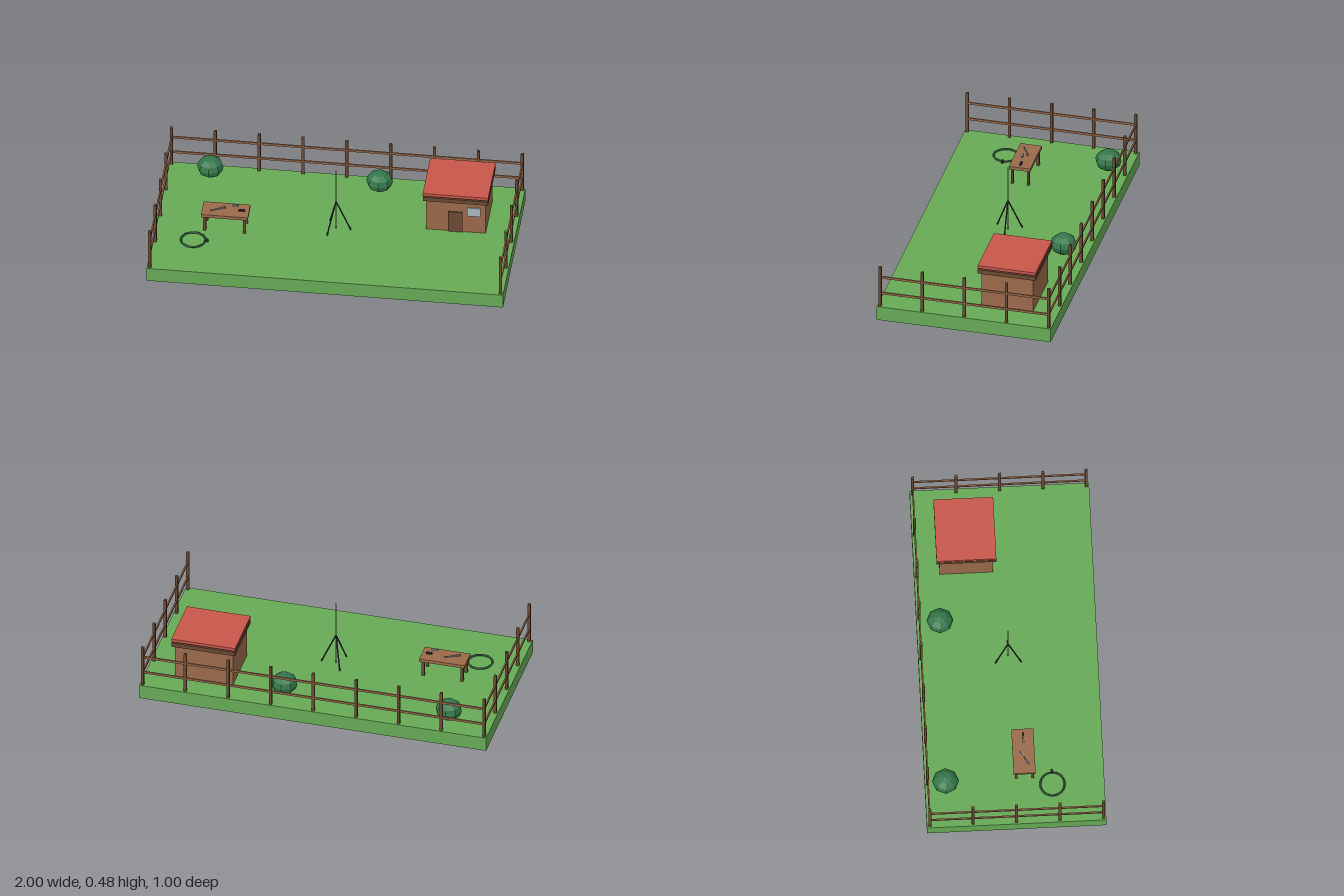
import * as THREE from 'three';

const mat = (name, color, flat = false) => {
  const m = new THREE.MeshStandardMaterial({ color, flatShading: flat });
  m.name = name;
  return m;
};

export function createModel() {
  const grass = mat('grass', 0x66aa55);
  const wood = mat('wood', 0x9a6a4a);
  const darkWood = mat('darkWood', 0x6b4a33);
  const red = mat('roofRed', 0xc8564a);
  const leaf = mat('leafGreen', 0x34774a, true);
  const hoseGreen = mat('hoseGreen', 0x2a5a38);
  const dark = mat('darkMetal', 0x2c2d36);
  const steel = mat('steel', 0x8b8f96);
  const glass = mat('glass', 0xa9b4be);

  const model = new THREE.Group();
  model.name = 'backyard';
  const G = 0.085; // ground level

  const group = (name) => {
    const g = new THREE.Group();
    g.name = name;
    model.add(g);
    return g;
  };
  const add = (parent, name, geo, material, x, y, z) => {
    const m = new THREE.Mesh(geo, material);
    m.name = name;
    m.position.set(x, y, z);
    parent.add(m);
    return m;
  };
  const box = (parent, name, material, w, h, d, x, y, z) =>
    add(parent, name, new THREE.BoxGeometry(w, h, d), material, x, y, z);
  // Thin round bar between two points
  const bar = (parent, name, material, a, b, r) => {
    const dir = b.clone().sub(a);
    const m = add(parent, name, new THREE.CylinderGeometry(r, r, dir.length(), 8), material, 0, 0, 0);
    m.position.copy(a).add(b).multiplyScalar(0.5);
    m.quaternion.setFromUnitVectors(new THREE.Vector3(0, 1, 0), dir.normalize());
  };

  box(model, 'lawn', grass, 2, G, 1, 0, G / 2, 0);

  // Fence around the back and both sides
  const fence = group('fence');
  const post = (x, z) => box(fence, 'fencePost', darkWood, 0.016, 0.25, 0.016, x, G + 0.125, z);
  for (let i = 0; i <= 8; i++) post(-0.984 + i * 0.246, -0.484);
  for (const x of [-0.984, 0.984]) for (let i = 1; i <= 4; i++) post(x, -0.484 + i * 0.242);
  for (const y of [0.168, 0.269]) {
    box(fence, 'backRail', wood, 1.968, 0.013, 0.008, 0, y, -0.484);
    for (const x of [-0.984, 0.984]) box(fence, 'sideRail', wood, 0.008, 0.013, 0.968, x, y, 0);
  }

  // Shed with a roof slab over a trim board
  const shed = group('shed');
  box(shed, 'shedWalls', wood, 0.335, 0.206, 0.298, 0.665, G + 0.103, -0.208);
  box(shed, 'eaveTrim', darkWood, 0.365, 0.025, 0.333, 0.665, 0.303, -0.208);
  box(shed, 'roofSlab', red, 0.367, 0.018, 0.333, 0.665, 0.333, -0.208);
  box(shed, 'door', darkWood, 0.08, 0.135, 0.007, 0.663, G + 0.0675, -0.0555);
  box(shed, 'window', glass, 0.075, 0.057, 0.007, 0.767, 0.228, -0.0555);

  // Bushes
  for (const [x, z] of [[-0.754, -0.385], [0.198, -0.37]]) {
    add(model, 'bush', new THREE.SphereGeometry(0.075, 8, 6), leaf, x, 0.16, z).scale.y = 0.8;
  }

  // Work table with tools
  const table = group('workTable');
  box(table, 'tableTop', wood, 0.263, 0.019, 0.123, -0.612, 0.1905, 0.0565);
  for (const sx of [-1, 1]) for (const sz of [-1, 1]) {
    box(table, 'tableLeg', darkWood, 0.016, 0.098, 0.014, -0.612 + sx * 0.112, 0.133, 0.0565 + sz * 0.046);
  }
  for (const [angle, h] of [[0.38, 0], [0.55, 0.003]]) {
    box(table, 'toolBlade', steel, 0.092, 0.004, 0.005, -0.655, 0.205 + h, 0.062).rotation.y = angle;
  }
  box(table, 'toolHandle', dark, 0.035, 0.01, 0.01, -0.521, 0.205, 0.058);
  box(table, 'toolHead', steel, 0.036, 0.01, 0.01, -0.555, 0.235, 0.058);

  // Mast on a tripod
  const mast = group('tripodMast');
  const v = (x, y, z) => new THREE.Vector3(x, y, z);
  bar(mast, 'mastTube', steel, v(0, G, 0), v(0, 0.275, 0), 0.004);
  bar(mast, 'mastRod', steel, v(0, 0.275, 0), v(0, 0.485, 0), 0.0028);
  for (let i = 0; i < 3; i++) {
    const a = (i * Math.PI * 2) / 3;
    bar(mast, 'tripodLeg', dark, v(0, 0.272, 0), v(0.083 * Math.cos(a), G, 0.083 * Math.sin(a)), 0.004);
  }

  // Coiled hose and its nozzle
  const hose = group('gardenHose');
  add(hose, 'hoseCoil', new THREE.TorusGeometry(0.068, 0.0055, 8, 32), hoseGreen, -0.775, 0.0905, 0.21).rotation.x = Math.PI / 2;
  box(hose, 'hoseNozzle', dark, 0.022, 0.014, 0.014, -0.7, 0.093, 0.21);

  return model;
}
